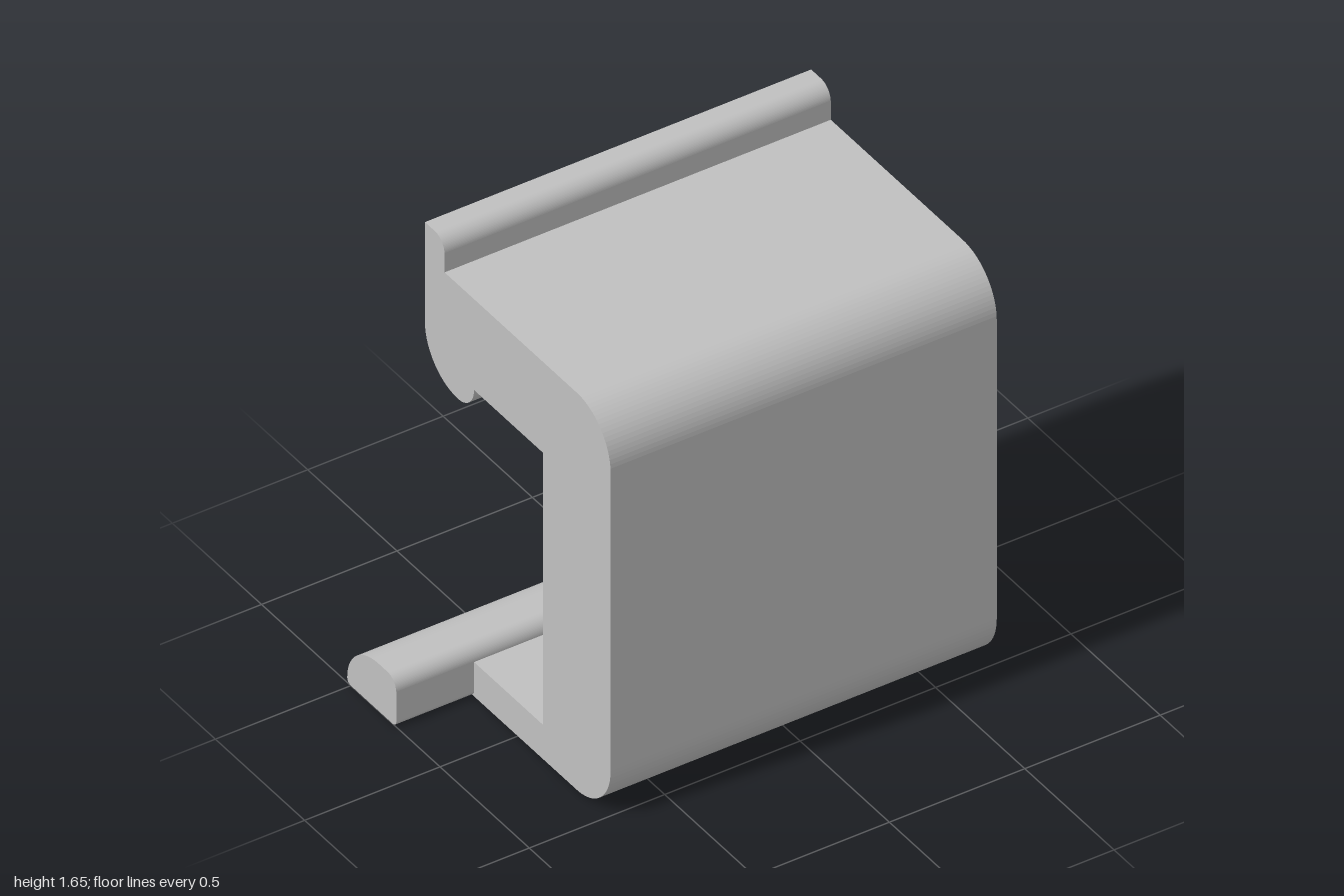
import * as THREE from 'three';

const grey = new THREE.MeshStandardMaterial({ color: 0xc0c0c0 });
grey.name = 'light grey';

// Extrudes a (z, y) profile along x; start(z) is the +x end, end(z) the -x end
function sweep(name, shape, start, end) {
  const g = new THREE.ExtrudeGeometry(shape, { depth: 1, bevelEnabled: false, curveSegments: 10 });
  const p = g.attributes.position;
  for (let i = 0; i < p.count; i++) {
    const z = p.getX(i), y = p.getY(i), t = p.getZ(i);
    p.setXYZ(i, THREE.MathUtils.lerp(start(z), end(z), t), y, z);
  }
  g.computeVertexNormals();
  const mesh = new THREE.Mesh(g, grey);
  mesh.name = name;
  return mesh;
}

// Front wall, top arm, raised lip and hooked jaw in one outline
function bodyProfile() {
  const s = new THREE.Shape();
  const h = Math.PI / 2;
  s.moveTo(0.14, 0);
  s.lineTo(0.33, 0);
  s.absarc(0.33, 0.19, 0.19, -h, 0, false);
  s.lineTo(0.52, 1.34);
  s.absarc(0.33, 1.34, 0.19, 0, h, false);
  s.lineTo(-0.41, 1.53);
  s.lineTo(-0.41, 1.6);
  s.absarc(-0.465, 1.6, 0.055, 0, h, false);
  s.lineTo(-0.52, 1.655);
  s.lineTo(-0.52, 1.27);
  s.absellipse(-0.335, 1.27, 0.185, 0.18, Math.PI, 3 * h, false);
  s.absarc(-0.335, 1.18, 0.09, -h, 0, false);
  s.lineTo(0.14, 1.18);
  return s;
}

// Rounded bar on the free end of the base
function barProfile() {
  const s = new THREE.Shape();
  const h = Math.PI / 2;
  s.moveTo(-0.5, 0);
  s.lineTo(-0.265, 0);
  s.absarc(-0.265, 0.02, 0.02, -h, 0, false);
  s.lineTo(-0.245, 0.132);
  s.absarc(-0.295, 0.132, 0.05, 0, h, false);
  s.lineTo(-0.345, 0.182);
  s.absellipse(-0.345, 0.02, 0.175, 0.162, h, Math.PI, false);
  s.absarc(-0.5, 0.02, 0.02, Math.PI, 3 * h, false);
  return s;
}

function baseProfile() {
  const s = new THREE.Shape();
  s.moveTo(-0.27, 0);
  s.lineTo(0.14, 0);
  s.lineTo(0.14, 0.132);
  s.lineTo(-0.27, 0.132);
  return s;
}

export function createModel() {
  const group = new THREE.Group();
  group.name = 'clip';
  group.add(sweep('clipBody', bodyProfile(), () => 0.713, () => -0.713));

  // The base is split by a notch that widens towards the back
  const notch = (z) => 0.08 + (0.14 - z) * 0.265;
  for (const [side, sign] of [['left', 1], ['right', -1]]) {
    const half = (name, shape, outer) => sign > 0
      ? sweep(name, shape, () => outer, notch)
      : sweep(name, shape, (z) => -notch(z), () => -outer);
    group.add(half(side + 'Base', baseProfile(), 0.713));
    group.add(half(side + 'Bar', barProfile(), 1));
  }
  return group;
}
